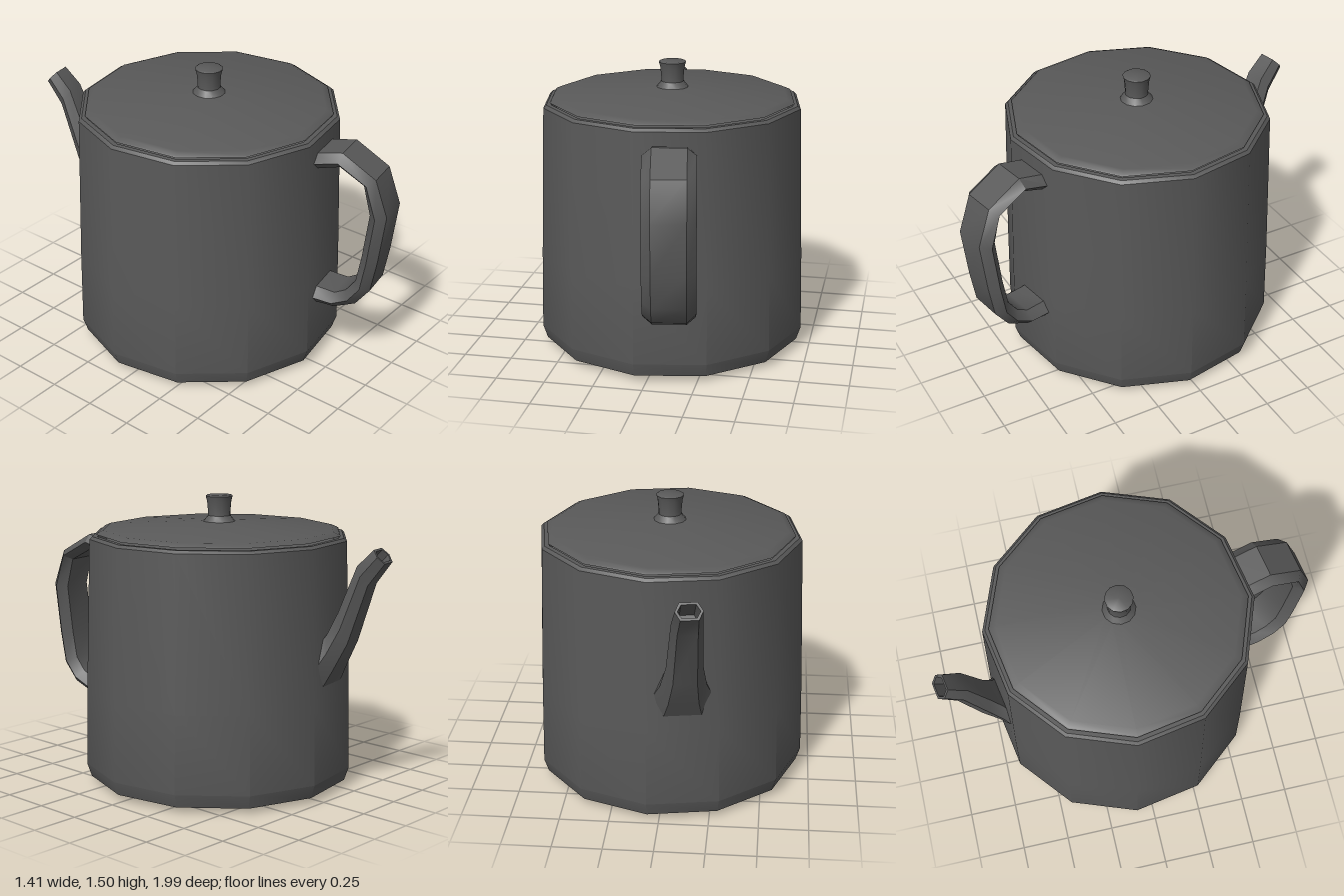
import * as THREE from 'three';
import { toCreasedNormals } from 'three/addons/utils/BufferGeometryUtils.js';

const CREASE = 0.6;

// Twelve-sided turned part from [radius, y] points, bottom to top
function turned(points) {
  const profile = points.map(([r, y]) => new THREE.Vector2(r, y));
  return toCreasedNormals(new THREE.LatheGeometry(profile, 12, Math.PI / 12), CREASE);
}

// Hexagonal tube; each section is [outer z, outer y, inner z, inner y, half width]
function hexTube(sections) {
  const pos = [], idx = [], last = (sections.length - 1) * 6;
  for (const [oz, oy, iz, iy, w] of sections) {
    const f = w * 0.65, mz = (oz + iz) / 2, my = (oy + iy) / 2;
    pos.push(f, oy, oz, w, my, mz, f, iy, iz, -f, iy, iz, -w, my, mz, -f, oy, oz);
  }
  for (let s = 0; s < last; s += 6) {
    for (let j = 0; j < 6; j++) {
      const a = s + j, b = s + (j + 1) % 6;
      idx.push(a, b, b + 6, a, b + 6, a + 6);
    }
  }
  for (let j = 1; j < 5; j++) {
    idx.push(0, j + 1, j, last, last + j, last + j + 1);
  }
  const geo = new THREE.BufferGeometry();
  geo.setAttribute('position', new THREE.Float32BufferAttribute(pos, 3));
  geo.setIndex(idx);
  return toCreasedNormals(geo, CREASE);
}

export function createModel() {
  const metal = new THREE.MeshStandardMaterial({ color: 0x595959 });
  metal.name = 'dark grey';

  const teapot = new THREE.Group();
  teapot.name = 'teapot';
  const add = (name, geometry) => {
    const mesh = new THREE.Mesh(geometry, metal);
    mesh.name = name;
    teapot.add(mesh);
    return mesh;
  };

  // Tapered pot with a chamfered foot and a shallow well under the lid
  add('body', turned([
    [0, 0], [0.53, 0], [0.685, 0.03], [0.708, 0.1], [0.7, 0.5], [0.675, 1.283],
    [0.66, 1.297], [0.635, 1.297], [0.62, 1.25], [0, 1.25],
  ]));

  // Shallow cone lid, floating just above the rim
  add('lid', turned([
    [0, 1.307], [0.642, 1.307], [0.635, 1.313], [0.605, 1.326], [0.085, 1.36], [0, 1.362],
  ]));

  // Flared knob
  add('knob', turned([
    [0.085, 1.358], [0.059, 1.39], [0.059, 1.41], [0.064, 1.465], [0.071, 1.49], [0.062, 1.496], [0, 1.497],
  ]));

  // Loop handle, from the lower joint up to the upper joint
  add('handle', hexTube([
    [0.63, 0.352, 0.63, 0.45, 0.13],
    [0.78, 0.355, 0.78, 0.44, 0.13],
    [0.895, 0.41, 0.84, 0.475, 0.13],
    [0.97, 0.51, 0.89, 0.545, 0.13],
    [1.0, 0.68, 0.915, 0.69, 0.13],
    [1.033, 0.95, 0.945, 0.94, 0.13],
    [0.965, 1.14, 0.905, 1.095, 0.13],
    [0.785, 1.243, 0.775, 1.165, 0.13],
    [0.63, 1.207, 0.63, 1.12, 0.13],
  ]));

  // Spout with a flared root and a hollow mouth
  const spout = add('spout', hexTube([
    [0.64, 0.52, 0.64, 0.78, 0.165],
    [0.715, 0.67, 0.68, 0.85, 0.115],
    [0.785, 0.81, 0.73, 0.96, 0.09],
    [0.885, 1.11, 0.825, 1.2, 0.075],
    [0.97, 1.222, 0.91, 1.286, 0.066],
    [0.962, 1.23, 0.918, 1.278, 0.053],
    [0.875, 1.12, 0.835, 1.19, 0.053],
  ]));
  spout.rotation.y = Math.PI;

  teapot.rotation.y = THREE.MathUtils.degToRad(10);
  teapot.position.z = -0.033;

  const model = new THREE.Group();
  model.add(teapot);
  return model;
}
